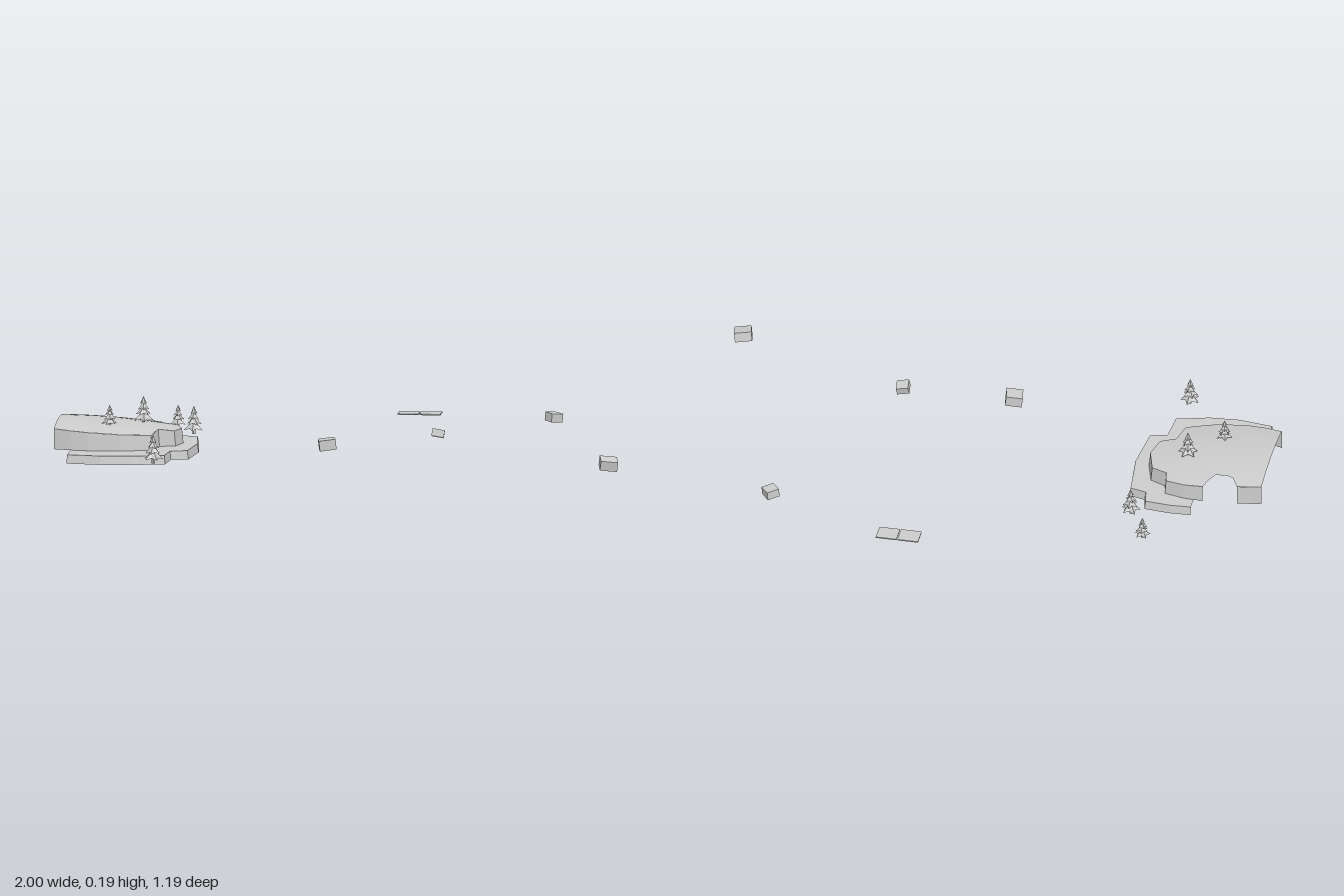
import * as THREE from 'three';
import { mergeGeometries } from 'three/addons/utils/BufferGeometryUtils.js';

const flat = new THREE.MeshStandardMaterial({ color: 0xcccccc, flatShading: true, side: THREE.DoubleSide });
const smooth = new THREE.MeshStandardMaterial({ color: 0xcccccc, side: THREE.DoubleSide });

// Terrace outlines as [x, z], each running from the open -x side towards +x
const upperBack = [[-1, -0.09], [-0.915, -0.1], [-0.893, -0.06], [-0.87, -0.05], [-0.83, -0.05], [-0.812, -0.075],
  [-0.797, -0.11], [-0.73, -0.105], [-0.663, -0.09], [-0.655, -0.045], [-0.6, -0.02], [-0.575, 0.07]];
const upperFront = [[-1, 0.262], [-0.94, 0.278], [-0.877, 0.287], [-0.77, 0.282], [-0.663, 0.25], [-0.648, 0.16],
  [-0.594, 0.145], [-0.575, 0.07]];
const lowerOutline = [[-0.765, -0.16], [-0.69, -0.163], [-0.604, -0.155], [-0.594, -0.1], [-0.537, -0.085], [-0.52, 0.085],
  [-0.537, 0.25], [-0.596, 0.265], [-0.604, 0.37], [-0.717, 0.4], [-0.824, 0.407], [-0.94, 0.39]];

const domeHeight = (x, z) => Math.max(0.08, 0.117 - 0.2 * (x + 1) ** 2 - 0.55 * (z - 0.09) ** 2);

function mesh(name, geometry, material = flat) {
  const m = new THREE.Mesh(geometry, material);
  m.name = name;
  return m;
}

// Indexed grid of rows, each row a list of [x, y, z]
function grid(rows) {
  const n = rows[0].length, index = [];
  for (let i = 0; i < rows.length - 1; i++) {
    for (let j = 0; j < n - 1; j++) {
      const a = i * n + j, b = a + n;
      index.push(a, a + 1, b, b, a + 1, b + 1);
    }
  }
  const g = new THREE.BufferGeometry();
  g.setAttribute('position', new THREE.Float32BufferAttribute(rows.flat(2), 3));
  g.setIndex(index);
  g.computeVertexNormals();
  return g;
}

// Steep bank hanging from an outline, flaring slightly at its foot
function bank(outline, topY, footY) {
  return grid(outline.map(([x, z]) => {
    const out = new THREE.Vector2(x + 0.8, z - 0.1).setLength(0.005);
    return [[x, topY(x, z), z], [Math.max(-1, x + out.x), footY, z + out.y]];
  }));
}

function zAt(line, x) {
  for (let i = 1; i < line.length; i++) {
    const [x0, z0] = line[i - 1], [x1, z1] = line[i];
    if (x <= x1) return z0 + (z1 - z0) * (x - x0) / (x1 - x0);
  }
  return line[line.length - 1][1];
}

function upperTerrace() {
  const g = new THREE.Group();
  g.name = 'upperTerrace';
  const xs = [...upperBack, ...upperFront].map(p => p[0]);
  for (let i = 1; i < 24; i++) xs.push(-1 + 0.425 * i / 24);
  const columns = [...new Set(xs)].sort((a, b) => a - b);
  const rows = columns.map(x => {
    const z0 = zAt(upperBack, x), z1 = zAt(upperFront, x);
    return Array.from({ length: 13 }, (_, j) => {
      const z = z0 + (z1 - z0) * j / 12;
      return [x, domeHeight(x, z), z];
    });
  });
  g.add(mesh('domedGround', grid(rows), smooth));
  // The bank is open along the -x side and in the back notch
  const rim = [...upperBack.slice(6), ...upperFront.slice(0, -1).reverse()];
  g.add(mesh('upperBank', bank(rim, domeHeight, 0.03)));
  g.add(mesh('backBank', bank(upperBack.slice(0, 2), domeHeight, 0.03)));
  return g;
}

function lowerTerrace() {
  const g = new THREE.Group();
  g.name = 'lowerTerrace';
  // Ledge between the lower rim and the foot of the upper bank
  const inner = [...upperFront.slice(1), ...upperBack.slice(7, -1).reverse(), [-0.765, -0.107]];
  const shape = new THREE.Shape([...lowerOutline, ...inner].map(([x, z]) => new THREE.Vector2(x, -z)));
  const ledge = new THREE.ShapeGeometry(shape).rotateX(-Math.PI / 2).translate(0, 0.03, 0);
  g.add(mesh('ledge', ledge));
  g.add(mesh('lowerBank', bank(lowerOutline, () => 0.03, 0)));
  return g;
}

// Conifer of unit height: four star-shaped tiers over a short trunk
function treeGeometry() {
  const parts = [new THREE.CylinderGeometry(0.05, 0.06, 0.3, 5).translate(0, 0.15, 0)];
  const tiers = [[0.36, 0.14, 0.36], [0.28, 0.34, 0.32], [0.21, 0.53, 0.28], [0.13, 0.71, 0.29]];
  tiers.forEach(([radius, y, height], t) => {
    const tier = new THREE.ConeGeometry(radius, height, 10, 1, true);
    const p = tier.attributes.position;
    for (let i = 0; i < p.count; i++) {
      if (p.getY(i) > 0) continue;
      const spoke = Math.round(Math.atan2(p.getX(i), p.getZ(i)) / (Math.PI / 5));
      if (spoke % 2) p.setXYZ(i, p.getX(i) * 0.55, p.getY(i) + 0.06, p.getZ(i) * 0.55);
    }
    parts.push(tier.rotateY(t * 0.6).translate(0, y + height / 2, 0));
  });
  return mergeGeometries(parts);
}

// Block with no underside
function blockGeometry(w, h) {
  const g = new THREE.BoxGeometry(w, h, w);
  g.setIndex(Array.from(g.index.array).filter((_, i) => i < 18 || i >= 24));
  g.clearGroups();
  return g;
}

export function createModel() {
  const model = new THREE.Group();
  model.name = 'terracedIsland';
  model.add(upperTerrace(), lowerTerrace());

  // Trees: x, foot y, z, height, turn
  const tree = treeGeometry();
  [[-0.71, 0.092, 0.06, 0.098, 0.2], [-0.815, 0.098, 0.178, 0.078, 0.9], [-0.63, 0.02, 0.49, 0.1, 0.5],
    [-0.565, 0.018, -0.22, 0.098, 1.2], [-0.635, 0.018, -0.36, 0.08, 0]].forEach(([x, y, z, h, turn]) => {
    const m = mesh('tree', tree);
    m.position.set(x, y, z);
    m.scale.setScalar(h);
    m.rotation.y = turn;
    model.add(m);
  });

  // Scattered blocks: x, y, z, width, height, tilt x, turn, tilt z
  [[-0.042, 0.072, 0.325, 0.058, 0.036, 0, 0.17, 0.12], [0.337, 0.107, 0.262, 0.043, 0.026, -0.2, 0.1, -0.16],
    [0.667, 0.068, -0.412, 0.045, 0.03, 0.05, 0.65, -0.12], [0.961, 0.054, 0.553, 0.06, 0.034, 0.2, 0.18, -0.14]]
    .forEach(([x, y, z, w, h, tiltX, turn, tiltZ]) => {
      const m = mesh('block', blockGeometry(w, h));
      m.position.set(x, y, z);
      m.rotation.set(tiltX, turn, tiltZ);
      model.add(m);
    });

  // Pair of thin floating slabs
  for (const x of [0.146, 0.222]) {
    const slab = mesh('slab', new THREE.BoxGeometry(0.073, 0.004, 0.065));
    slab.position.set(x, 0.051, -0.562);
    model.add(slab);
  }
  return model;
}
